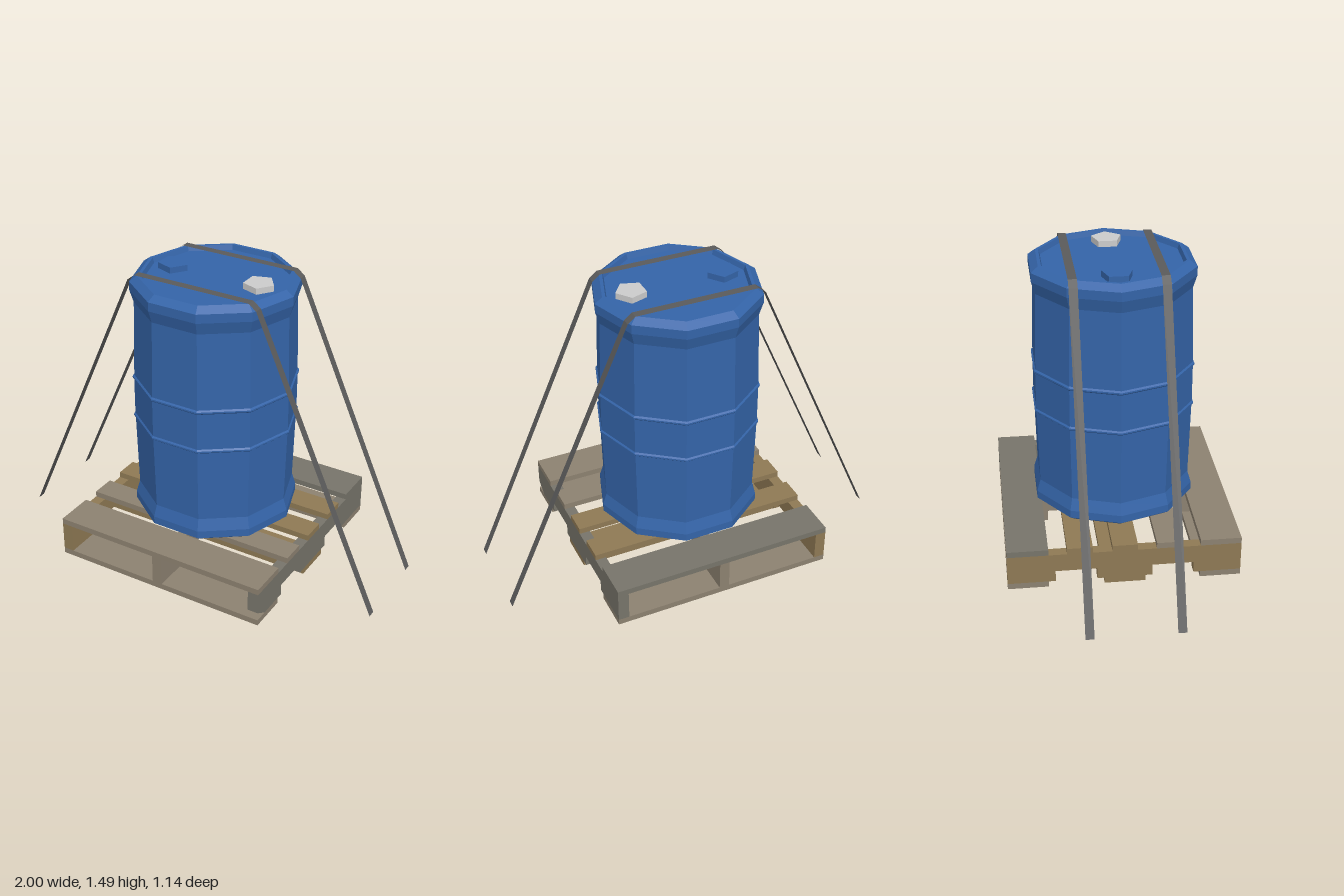
import * as THREE from 'three';

const mat = (color, extra = {}) => new THREE.MeshStandardMaterial({ color, flatShading: true, ...extra });
const BLUE = mat(0x3464a8), WHITE = mat(0xcccccc);
const TAUPE = mat(0x8c8170), GREY = mat(0x77746a), TAN = mat(0x8e7954);
const STRAP = mat(0x5a5a5a, { side: THREE.DoubleSide });

function add(parent, name, geometry, material, x = 0, y = 0, z = 0) {
  const mesh = new THREE.Mesh(geometry, material);
  mesh.name = name;
  mesh.position.set(x, y, z);
  parent.add(mesh);
  return mesh;
}

// Pallet runner: notched side profile (z, y) extruded along x
function stringerGeometry(width, chipped) {
  const front = chipped ? [[0.5, 0.03], [0.57, 0.073]] : [[0.57, 0.03]];
  const profile = [
    [-0.57, 0.03], [-0.337, 0.03], [-0.337, 0.087], [-0.135, 0.087], [-0.135, 0.03],
    [0.135, 0.03], [0.135, 0.087], [0.337, 0.087], [0.337, 0.03],
    ...front, [0.57, 0.18], [-0.57, 0.18],
  ];
  const shape = new THREE.Shape(profile.map(([z, y]) => new THREE.Vector2(z, y)));
  const geo = new THREE.ExtrudeGeometry(shape, { depth: width, bevelEnabled: false });
  return geo.translate(0, 0, -width / 2).rotateY(-Math.PI / 2);
}

function createPallet() {
  const pallet = new THREE.Group();
  pallet.name = 'pallet';

  // Top deck: z centre, depth, material
  const deck = [
    [0.47, 0.2, TAUPE], [0.218, 0.125, TAUPE], [0, 0.122, TAN],
    [-0.218, 0.125, TAN], [-0.47, 0.2, GREY],
  ];
  for (const [z, depth, m] of deck) {
    add(pallet, 'deckBoard', new THREE.BoxGeometry(1.14, 0.03, depth), m, 0, 0.195, z);
  }

  // Bottom boards
  for (const [z, m] of [[0.47, TAUPE], [0, TAN], [-0.47, TAUPE]]) {
    add(pallet, 'bottomBoard', new THREE.BoxGeometry(1.14, 0.03, 0.2), m, 0, 0.015, z);
  }

  // Runners, the left one with a broken front corner
  add(pallet, 'rightStringer', stringerGeometry(0.055, false), TAN, -0.5425);
  add(pallet, 'middleStringer', stringerGeometry(0.052, false), TAUPE);
  add(pallet, 'leftStringer', stringerGeometry(0.055, true), GREY, 0.5425);
  return pallet;
}

function createBarrel() {
  const barrel = new THREE.Group();
  barrel.name = 'barrel';

  // Ten-sided body with flared ends, two ribs and a sunken lid
  const profile = [
    [0, 0.21], [0.378, 0.21], [0.413, 0.235], [0.413, 0.275], [0.394, 0.337],
    [0.404, 0.72], [0.412, 0.727], [0.412, 0.735], [0.405, 0.742],
    [0.405, 0.933], [0.412, 0.94], [0.412, 0.948], [0.404, 0.955],
    [0.394, 1.345], [0.413, 1.407], [0.413, 1.452], [0.376, 1.48],
    [0.36, 1.48], [0.352, 1.455], [0, 1.455],
  ].map(([r, y]) => new THREE.Vector2(r, y));
  add(barrel, 'barrelBody', new THREE.LatheGeometry(profile, 10, Math.PI / 10), BLUE);

  // Five-sided bungs
  const bung = new THREE.CylinderGeometry(0.077, 0.077, 0.035, 5, 1, false, Math.PI / 2);
  add(barrel, 'leftBung', bung, WHITE, 0.233, 1.468, 0);
  add(barrel, 'rightBung', bung, BLUE, -0.237, 1.468, 0);
  return barrel;
}

// Flat ribbon following a path over the barrel down to the ground
function strapGeometry(width) {
  const path = [[-1, 0], [-0.348, 1.456], [-0.31, 1.486], [0.31, 1.486], [0.348, 1.456], [1, 0]];
  const geo = new THREE.PlaneGeometry(1, width, path.length - 1, 1);
  const pos = geo.attributes.position;
  for (let i = 0; i < pos.count; i++) {
    const [x, y] = path[i % path.length];
    pos.setXYZ(i, x, y, -pos.getY(i));
  }
  geo.computeVertexNormals();
  return geo;
}

export function createModel() {
  const model = new THREE.Group();
  model.name = 'strappedBarrelOnPallet';
  model.add(createPallet(), createBarrel());
  const strap = strapGeometry(0.042);
  add(model, 'frontStrap', strap, STRAP, 0, 0, 0.214);
  add(model, 'backStrap', strap, STRAP, 0, 0, -0.214);
  return model;
}
